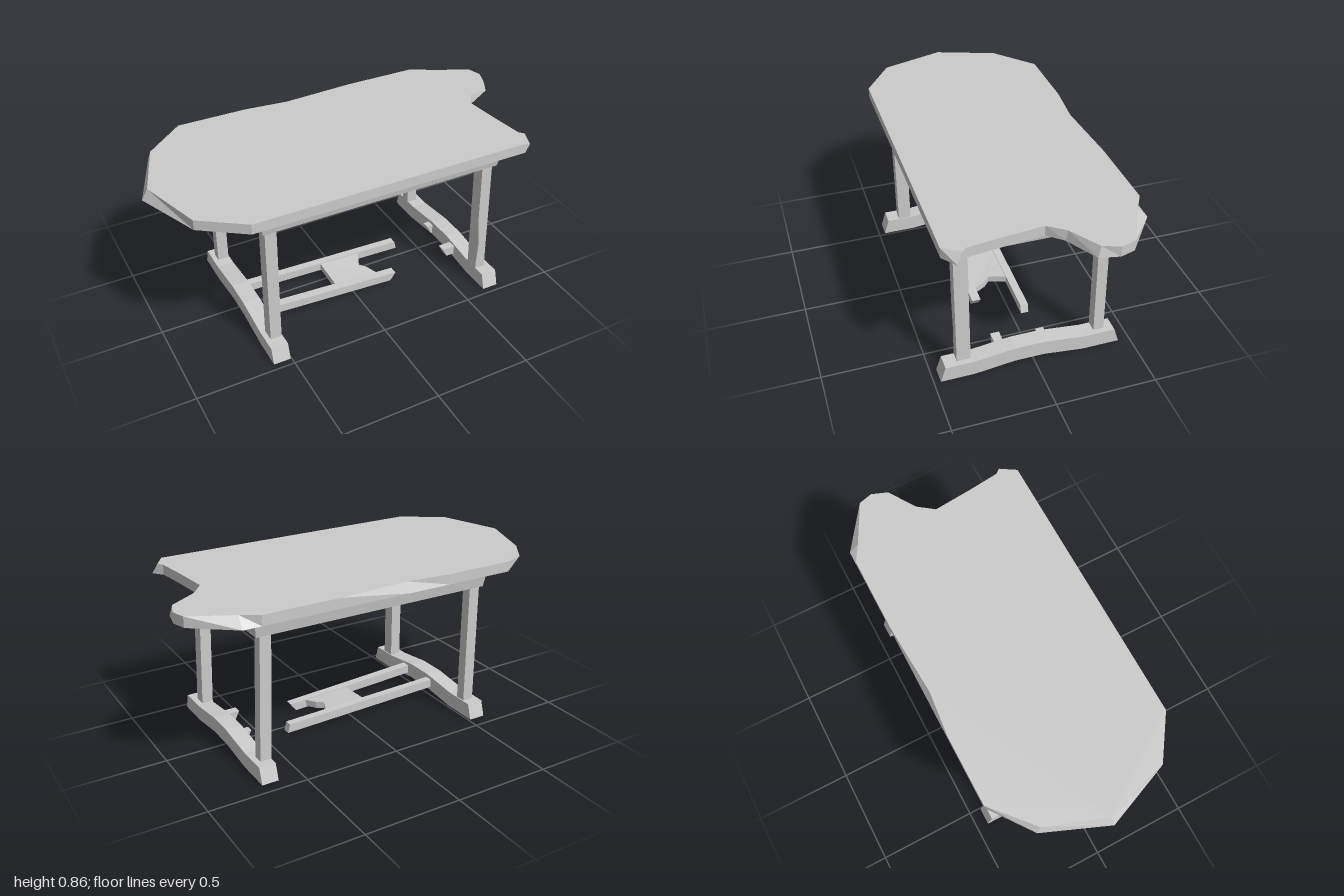
import * as THREE from 'three';

const material = new THREE.MeshStandardMaterial({ color: 0xcccccc, flatShading: true });

function addMesh(parent, name, geometry) {
  const flat = geometry.index ? geometry.toNonIndexed() : geometry;
  flat.computeVertexNormals();
  const mesh = new THREE.Mesh(flat, material);
  mesh.name = name;
  parent.add(mesh);
  return mesh;
}

// Moves every vertex of a geometry by a rule
function warp(geometry, rule) {
  const pos = geometry.attributes.position;
  const v = new THREE.Vector3();
  for (let i = 0; i < pos.count; i++) {
    v.fromBufferAttribute(pos, i);
    rule(v);
    pos.setXYZ(i, v.x, v.y, v.z);
  }
  return geometry;
}

// Block between two rectangles [x0, x1, z0, z1] at heights y0 and y1
function block(y0, lower, y1, upper, segments = 1) {
  const { lerp } = THREE.MathUtils;
  return warp(new THREE.BoxGeometry(1, 1, 1, 1, segments, 1), (v) => {
    const t = v.y + 0.5;
    const [x0, x1, z0, z1] = lower.map((a, i) => lerp(a, upper[i], t));
    v.set(lerp(x0, x1, v.x + 0.5), lerp(y0, y1, t), lerp(z0, z1, v.z + 0.5));
  });
}

function shapeOf(points) {
  return new THREE.Shape(points.map(([x, y]) => new THREE.Vector2(x, y)));
}

function createTop() {
  // Outline as [x, z, optional x and z of the chipped upper edge]
  const outline = [
    [-1, 0, -0.97, 0], [-0.87, 0.32], [-0.66, 0.465], [0.78, 0.465],
    [0.85, 0.41, 0.83, 0.385], [0.81, 0.36], [0.79, 0.2], [0.77, 0],
    [0.83, -0.07, 0.83, -0.08], [0.98, -0.155, 0.97, -0.17], [1, -0.25], [0.98, -0.32],
    [0.78, -0.475, 0.775, -0.425], [0.69, -0.475], [0.3, -0.475],
    [-0.07, -0.475, -0.07, -0.452], [-0.3, -0.475], [-0.66, -0.475],
    [-0.87, -0.32, -0.86, -0.3],
  ];
  const y0 = 0.813, y1 = 0.865;
  const geometry = new THREE.ExtrudeGeometry(shapeOf(outline.map(([x, z]) => [x, -z])), {
    depth: y1 - y0, bevelEnabled: false,
  });
  geometry.rotateX(-Math.PI / 2).translate(0, y0, 0);
  return warp(geometry, (v) => {
    if (v.y < y1 - 0.01) return;
    const chip = outline.find((p) => p.length > 2 && Math.hypot(p[0] - v.x, p[1] - v.z) < 1e-3);
    if (chip) { v.x = chip[2]; v.z = chip[3]; }
  });
}

// Arched foot, drawn from the side and extruded across its width
function createFoot(x0, x1) {
  const profile = [
    [-0.468, 0.01], [-0.3, 0.01], [-0.1, 0.035], [0.05, 0.035], [0.25, 0.01], [0.44, 0.01],
    [0.415, 0.09], [0.26, 0.09], [0.05, 0.115], [-0.1, 0.115], [-0.3, 0.09], [-0.443, 0.09],
  ];
  const geometry = new THREE.ExtrudeGeometry(shapeOf(profile), { depth: x1 - x0, bevelEnabled: false });
  return geometry.rotateY(Math.PI / 2).translate(x0, 0, 0);
}

export function createModel() {
  const table = new THREE.Group();
  table.name = 'brokenTable';

  addMesh(table, 'tableTop', createTop());
  addMesh(table, 'apron', block(0.723, [-0.58, 0.68, -0.385, 0.383], 0.813, [-0.592, 0.692, -0.4, 0.4]));

  // Feet and legs at both ends
  addMesh(table, 'rightFoot', createFoot(-0.595, -0.507));
  addMesh(table, 'leftFoot', createFoot(0.62, 0.705));
  for (const [place, z0, z1] of [['Front', 0.312, 0.38], ['Back', -0.368, -0.315]]) {
    const straight = [-0.57, -0.512, z0, z1];
    addMesh(table, `right${place}Leg`, block(0.085, straight, 0.723, straight));
    const leg = block(0.085, [0.618, 0.676, z0, z1], 0.723, [0.597, 0.654, z0, z1], 4);
    // Worn edge on the front leg
    if (place === 'Front') warp(leg, (v) => {
      if (v.y > 0.2 && v.y < 0.3 && v.x < 0.64 && v.z > 0.35) v.x += 0.012;
    });
    addMesh(table, `left${place}Leg`, leg);
  }

  // Snapped stretcher, sagging from the right foot
  const stretcher = new THREE.Group();
  stretcher.name = 'stretcher';
  table.add(stretcher);
  const sag = (geometry, slope) => warp(geometry, (v) => { v.y -= slope * (v.x + 0.5); });
  const rail = (x1, z0, z1, splinter) => block(
    0.05, [-0.515, x1 - splinter, z0, z1], 0.095, [-0.515, x1, z0, z1]);
  addMesh(stretcher, 'frontRail', sag(rail(0.25, 0.13, 0.175, 0.03), 0.06));
  addMesh(stretcher, 'backRail', sag(rail(0.37, -0.085, -0.045, -0.012), 0.035));

  // Broken panel between the rails
  const panelShape = shapeOf([
    [-0.09, 0.05], [-0.09, -0.135], [0.16, -0.135], [0.13, -0.07], [0.1, -0.04], [0.14, 0.05],
  ]);
  const panel = new THREE.ExtrudeGeometry(panelShape, { depth: 0.035, bevelEnabled: false });
  panel.rotateX(-Math.PI / 2).translate(0, 0.056, 0);
  addMesh(stretcher, 'panel', warp(panel, (v) => {
    const slope = THREE.MathUtils.mapLinear(v.z, -0.05, 0.135, 0.035, 0.06);
    v.y -= slope * (v.x + 0.5);
  }));

  // Stubs left on the other foot
  for (const [name, x, z0, z1] of [['frontStub', 0.55, 0.13, 0.175], ['backStub', 0.585, -0.085, -0.045]]) {
    addMesh(table, name, block(0.045, [x + 0.025, 0.63, z0, z1], 0.095, [x, 0.63, z0, z1]));
  }
  return table;
}
